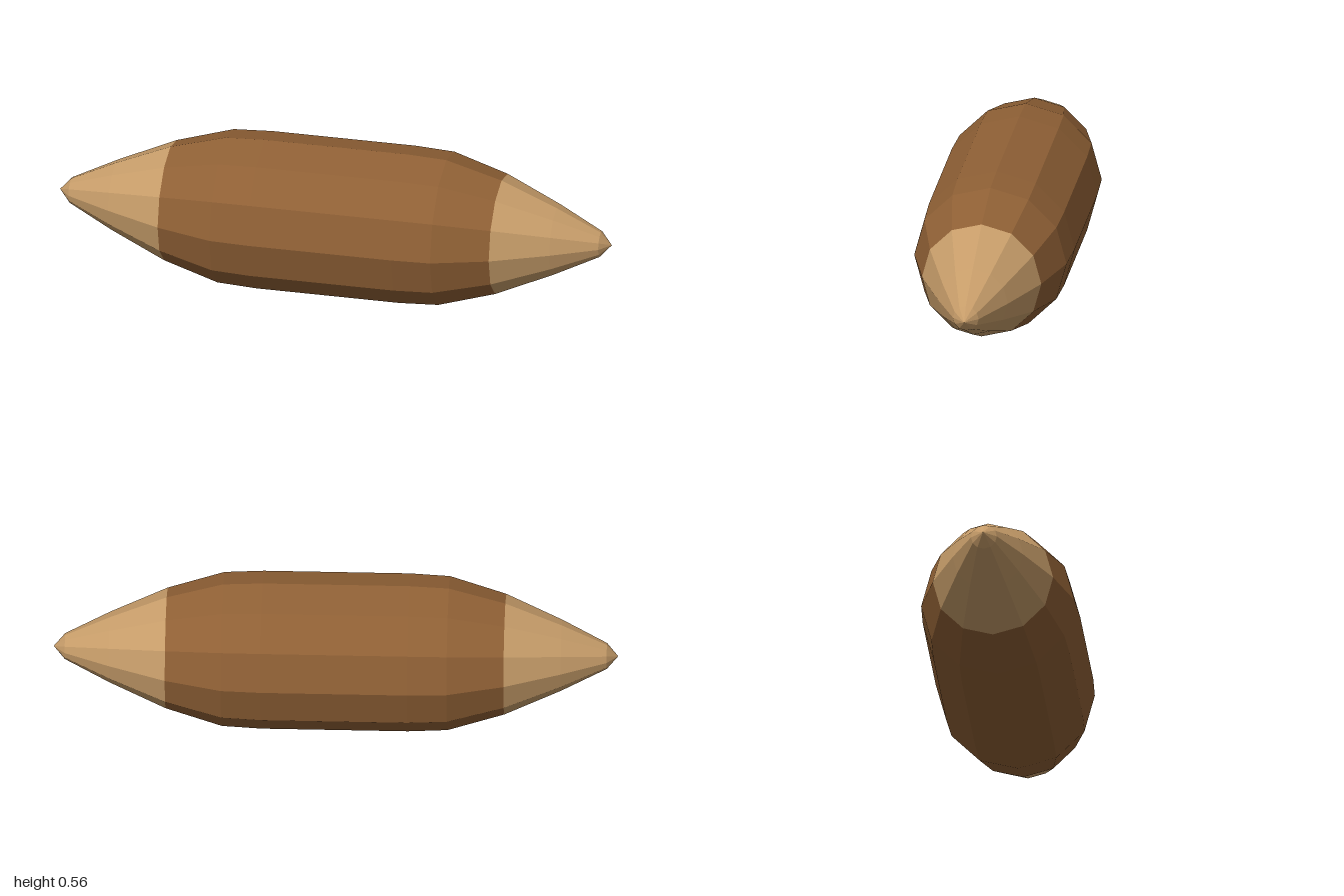
import * as THREE from 'three';

const SIDES = 12;
const RADIUS = 0.28;

export function createModel() {
  const bark = new THREE.MeshStandardMaterial({ name: 'brown wrap', color: 0x8f6035, flatShading: true });
  const core = new THREE.MeshStandardMaterial({ name: 'tan tip', color: 0xc69c69, flatShading: true });
  const model = new THREE.Group();
  model.name = 'spindle';

  // Turn a profile of [x, radius] points around the long x axis
  function turned(name, profile, material) {
    const points = profile.map(([x, r]) => new THREE.Vector2(r, x));
    const geometry = new THREE.LatheGeometry(points, SIDES);
    geometry.rotateZ(-Math.PI / 2);
    geometry.translate(0, RADIUS, 0);
    const mesh = new THREE.Mesh(geometry, material);
    mesh.name = name;
    model.add(mesh);
  }

  // Mirror a profile to the -x end, keeping x ascending
  const mirrored = (profile) => profile.map(([x, r]) => [-x, r]).reverse();

  // Thick middle
  const half = [[0.26, RADIUS], [0.4, 0.273], [0.6, 0.214]];
  turned('body', [...mirrored(half), ...half], bark);

  // Tapered ends with small blunt points
  const tip = [[0.6, 0.214], [0.8, 0.126], [0.96, 0.046], [1, 0]];
  turned('leftTip', tip, core);
  turned('rightTip', mirrored(tip), core);

  return model;
}
